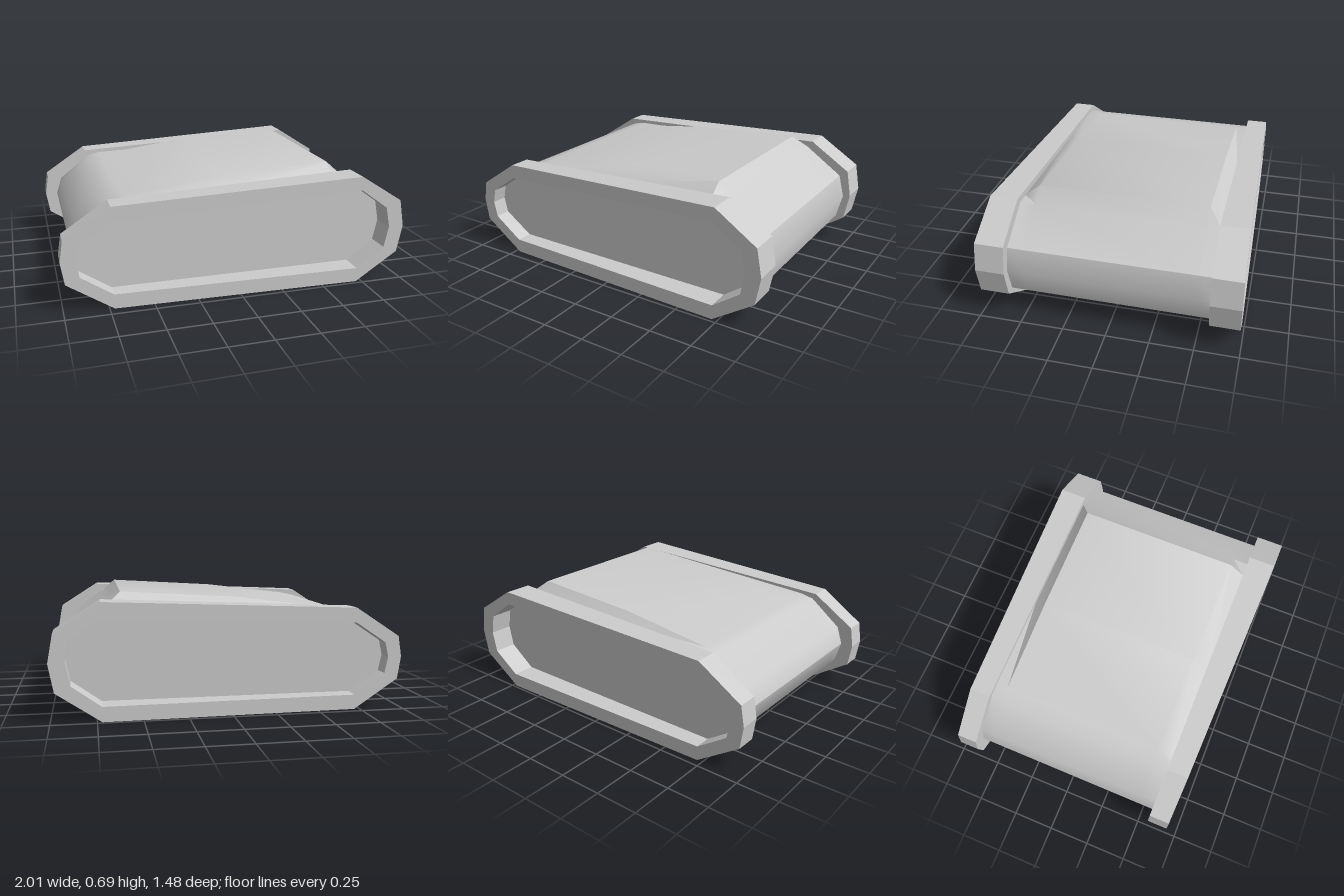
import * as THREE from 'three';
import { toCreasedNormals } from 'three/addons/utils/BufferGeometryUtils.js';

// Skin over rings of [x, y, z] points, with optional flat caps on both ends
function loft(rings, capped) {
  const n = rings[0].length, index = [];
  for (let r = 0; r < rings.length - 1; r++) {
    for (let i = 0; i < n; i++) {
      const j = (i + 1) % n, a = r * n, b = a + n;
      index.push(a + i, a + j, b + j, a + i, b + j, b + i);
    }
  }
  if (capped) {
    const e = (rings.length - 1) * n;
    for (let i = 1; i < n - 1; i++) index.push(0, i + 1, i, e, e + i, e + i + 1);
  }
  const g = new THREE.BufferGeometry();
  g.setAttribute('position', new THREE.Float32BufferAttribute(rings.flat(2), 3));
  g.setIndex(index);
  return g;
}

// Outlines run counter-clockwise seen from +z
const rimOuter = [[1, 0.33], [0.97, 0.49], [0.72, 0.65], [-0.72, 0.59], [-0.98, 0.42],
  [-1, 0.3], [-0.98, 0.17], [-0.72, 0], [0.72, 0], [0.97, 0.17]];
const rimInner = [[0.91, 0.33], [0.885, 0.45], [0.72, 0.57], [-0.72, 0.505], [-0.9, 0.385],
  [-0.92, 0.3], [-0.9, 0.205], [-0.72, 0.085], [0.72, 0.085], [0.885, 0.205]];

// Body outline; the two hump points rise between the rims
const bodyOutline = (y1, y2) => [[0.955, 0.32], [0.92, 0.455], [0.69, 0.61], [0.605, y1], [-0.06, y2],
  [-0.62, 0.572], [-0.7, 0.555], [-0.89, 0.405], [-0.925, 0.3], [-0.89, 0.18],
  [-0.7, 0.015], [0.7, 0.015], [0.92, 0.175]];

export function createModel() {
  const model = new THREE.Group();
  model.name = 'casing';
  const shell = new THREE.Group();
  shell.name = 'shell';
  shell.rotation.y = -0.004;
  shell.position.z = -0.006;
  model.add(shell);

  // Body with a raised, chamfered hump on top
  const at = (outline, z) => outline.map(([x, y]) => [x, y, z]);
  const low = bodyOutline(0.608, 0.588), high = bodyOutline(0.685, 0.645);
  const bodyGeometry = loft([at(low, -0.572), at(high, -0.5), at(high, 0.478), at(low, 0.572)], true);
  const body = new THREE.Mesh(toCreasedNormals(bodyGeometry, 0.6),
    new THREE.MeshStandardMaterial({ color: 0xcccccc }));
  body.name = 'body';
  shell.add(body);

  // End rims: thicker towards +x, each with a recessed panel
  const rimMaterial = new THREE.MeshStandardMaterial({ color: 0xcccccc, flatShading: true });
  for (const side of [1, -1]) {
    const ring = (outline, depth) => {
      const points = outline.map(([x, y]) => [x, y, side * depth(x)]);
      return side > 0 ? points : points.reverse();
    };
    const face = x => 0.715 + 0.025 * x;
    const rim = new THREE.Mesh(loft([
      ring(rimOuter, () => 0.57),
      ring(rimOuter, face),
      ring(rimInner, face),
      ring(rimInner, () => 0.6),
    ], true).toNonIndexed(), rimMaterial);
    rim.geometry.computeVertexNormals();
    rim.name = side > 0 ? 'frontRim' : 'backRim';
    shell.add(rim);
  }
  return model;
}
